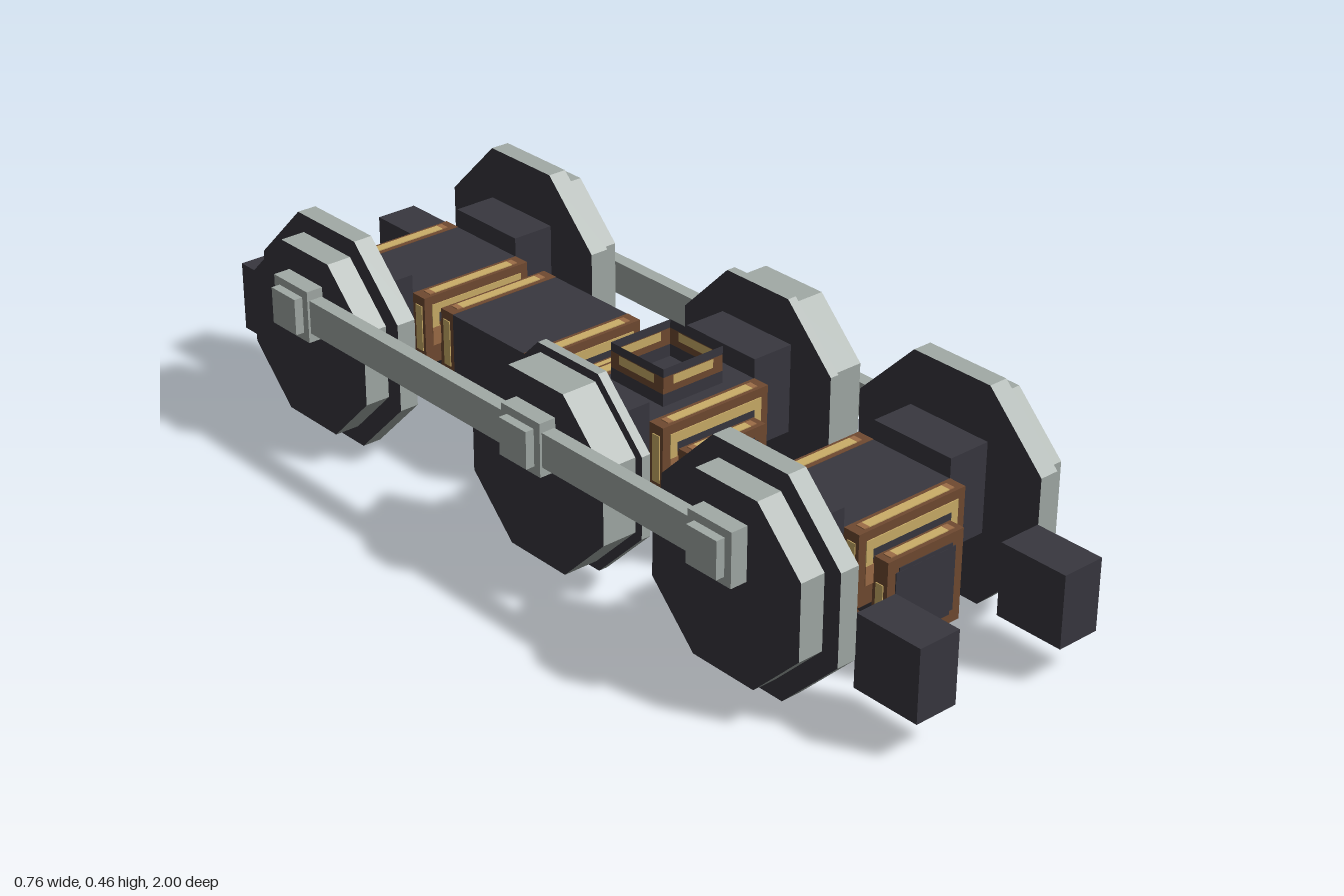
import * as THREE from 'three';

const mat = (name, color, side = THREE.FrontSide) => {
  const m = new THREE.MeshStandardMaterial({ color, side });
  m.name = name;
  return m;
};

export function createModel() {
  const dark = mat('dark iron', 0x38373f);
  const steel = mat('pale steel', 0xa2aaa6);
  const copper = mat('copper brown', 0x704a31);
  const tan = mat('light copper', 0x9c6c46);
  const gold = mat('winding gold', 0xcbae68);
  for (const m of [dark, copper, gold]) m.side = THREE.DoubleSide;

  const root = new THREE.Group();
  root.name = 'wheelTruck';
  const group = (name, parent = root) => {
    const g = new THREE.Group();
    g.name = name;
    parent.add(g);
    return g;
  };
  // Box given by its limits on each axis
  const box = (parent, name, material, x0, x1, y0, y1, z0, z1) => {
    const m = new THREE.Mesh(new THREE.BoxGeometry(Math.abs(x1 - x0), y1 - y0, Math.abs(z1 - z0)), material);
    m.position.set((x0 + x1) / 2, (y0 + y1) / 2, (z0 + z1) / 2);
    m.name = name;
    parent.add(m);
    return m;
  };
  const T = 0.002; // thickness of painted details

  // Octagonal disc on the x axis: steel rim, dark faces
  const disc = (parent, name, side, apothem, x0, x1, z) => {
    const r = apothem / Math.cos(Math.PI / 8);
    let geo = new THREE.CylinderGeometry(r, r, x1 - x0, 8, 1, false, Math.PI / 8);
    geo.rotateZ(Math.PI / 2);
    geo = geo.toNonIndexed();
    geo.computeVertexNormals();
    const m = new THREE.Mesh(geo, [steel, dark, dark]);
    m.position.set(side * (x0 + x1) / 2, 0.23, z);
    m.name = name;
    parent.add(m);
  };

  // Wheels: the middle pair has a thinner, smaller flange
  const axles = [
    { z: 0.62, flange: 0.229, edge: 0.27 },
    { z: 0.105, flange: 0.208, edge: 0.248 },
    { z: -0.62, flange: 0.229, edge: 0.27 },
  ];
  for (const { z, flange, edge } of axles) {
    for (const s of [-1, 1]) {
      const wheel = group('wheel');
      disc(wheel, 'wheelFlange', s, flange, 0.228, edge, z);
      disc(wheel, 'wheelTread', s, 0.19, edge, 0.325, z);
      box(wheel, 'axleBlock', dark, s * 0.133, s * 0.228, 0.155, 0.345, z - 0.097, z + 0.097);
    }
  }

  // Coupling rods, a quarter turn apart
  for (const s of [-1, 1]) {
    const y = s > 0 ? 0.23 : 0.307;
    const dz = s > 0 ? -0.077 : 0;
    const rods = group('couplingRod');
    box(rods, 'rod', steel, s * 0.327, s * 0.357, y - 0.036, y + 0.036, -0.62 + dz, 0.62 + dz);
    for (const a of axles) {
      const z = a.z + dz;
      box(rods, 'crankPin', steel, s * 0.325, s * 0.362, y - 0.056, y + 0.056, z - 0.056, z + 0.056);
      box(rods, 'pinCap', steel, s * 0.362, s * 0.381, y - 0.039, y + 0.039, z - 0.039, z + 0.039);
    }
  }

  // Wide coil plate at one end of a motor; d is the outward z direction
  const coilPlate = (parent, z, d) => {
    const g = group('coilPlate', parent);
    const z1 = z + d * 0.038;
    const f = z1 + d * T;
    box(g, 'plate', copper, -0.133, 0.133, 0.155, 0.305, z, z1);
    box(g, 'topWinding', gold, -0.1, 0.1, 0.305, 0.305 + T, z + d * 0.01, z1 - d * 0.008);
    box(g, 'faceWinding', gold, -0.115, 0.115, 0.265, 0.286, z1, f);
    box(g, 'faceCore', dark, -0.098, 0.098, 0.245, 0.265, z1, f);
    for (const s of [-1, 1]) {
      box(g, 'windingLeg', gold, s * 0.098, s * 0.115, 0.235, 0.265, z1, f);
      box(g, 'windingFoot', tan, s * 0.095, s * 0.115, 0.195, 0.235, z1, f);
      box(g, 'topWindingEnd', tan, s * 0.1, s * 0.113, 0.305, 0.305 + T, z + d * 0.01, z1 - d * 0.008);
      box(g, 'sideWinding', gold, s * 0.133, s * (0.133 + T), 0.185, 0.285, z + d * 0.01, z1 - d * 0.008);
      // Slanted brace under the plate
      const shape = new THREE.Shape([
        [0.133, 0.157], [0.095, 0.112], [0.095, 0.077], [0.133, 0.118],
      ].map(([x, y]) => new THREE.Vector2(s * x, y)));
      const brace = new THREE.Mesh(new THREE.ExtrudeGeometry(shape, { depth: 0.038, bevelEnabled: false }), copper);
      brace.position.z = Math.min(z, z1);
      brace.name = 'brace';
      g.add(brace);
    }
  };

  // Narrow nose coil outside the plate
  const noseCoil = (parent, z, d) => {
    const g = group('noseCoil', parent);
    const z1 = z + d * 0.036;
    box(g, 'nose', copper, -0.095, 0.095, 0.06, 0.25, z, z1);
    box(g, 'noseTopWinding', gold, -0.065, 0.065, 0.25, 0.25 + T, z + d * 0.009, z1 - d * 0.009);
    box(g, 'noseCap', dark, -0.075, 0.075, 0.088, 0.222, z1, z1 + d * T);
    box(g, 'noseCapTall', dark, -0.067, 0.067, 0.08, 0.23, z1, z1 + d * T * 0.8);
    for (const s of [-1, 1]) {
      box(g, 'noseTopWindingEnd', tan, s * 0.065, s * 0.08, 0.25, 0.25 + T, z + d * 0.009, z1 - d * 0.009);
      box(g, 'noseSideWinding', gold, s * 0.095, s * (0.095 + T), 0.1, 0.2, z + d * 0.009, z1 - d * 0.009);
    }
  };

  // Motor: stepped dark body with coils on its ends
  const motor = (name, z, half, noses) => {
    const g = group(name);
    box(g, 'upperBody', dark, -0.133, 0.133, 0.155, 0.304, z - half, z + half);
    box(g, 'lowerBody', dark, -0.094, 0.094, 0.061, 0.155, z - half - 0.037, z + half + 0.037);
    for (const d of [-1, 1]) coilPlate(g, z + d * half, d);
    for (const d of noses) noseCoil(g, z + d * (half + 0.038), d);
  };
  for (const a of axles) motor('tractionMotor', a.z, 0.097, [-1, 1]);
  motor('generator', -0.28, 0.112, [1]);

  // Open-topped coil collar above the middle motor
  const collar = group('coilCollar');
  collar.position.z = 0.1;
  const bands = [
    [dark, 0.15, 0.304, 0.33, 0], [copper, 0.15, 0.33, 0.365, 0],
    [dark, 0.15, 0.365, 0.383, 0], [gold, 0.1, 0.345, 0.364, 0.001],
  ];
  for (let i = 0; i < 4; i++) {
    const wall = group('collarWall', collar);
    wall.rotation.y = i * Math.PI / 2;
    for (const [m, w, y0, y1, out] of bands) {
      // Windings are painted on both sides of the wall
      for (const o of out ? [out, -out] : [0]) {
        const band = new THREE.Mesh(new THREE.PlaneGeometry(w, y1 - y0), m);
        band.position.set(0, (y0 + y1) / 2, 0.075 + o);
        band.name = 'collarBand';
        wall.add(band);
      }
    }
  }

  // End blocks at the four corners
  for (const sx of [-1, 1]) for (const sz of [-1, 1]) {
    box(root, 'endBlock', dark, sx * 0.133, sx * 0.228, 0.078, 0.23, sz * 0.848, sz);
  }
  return root;
}
